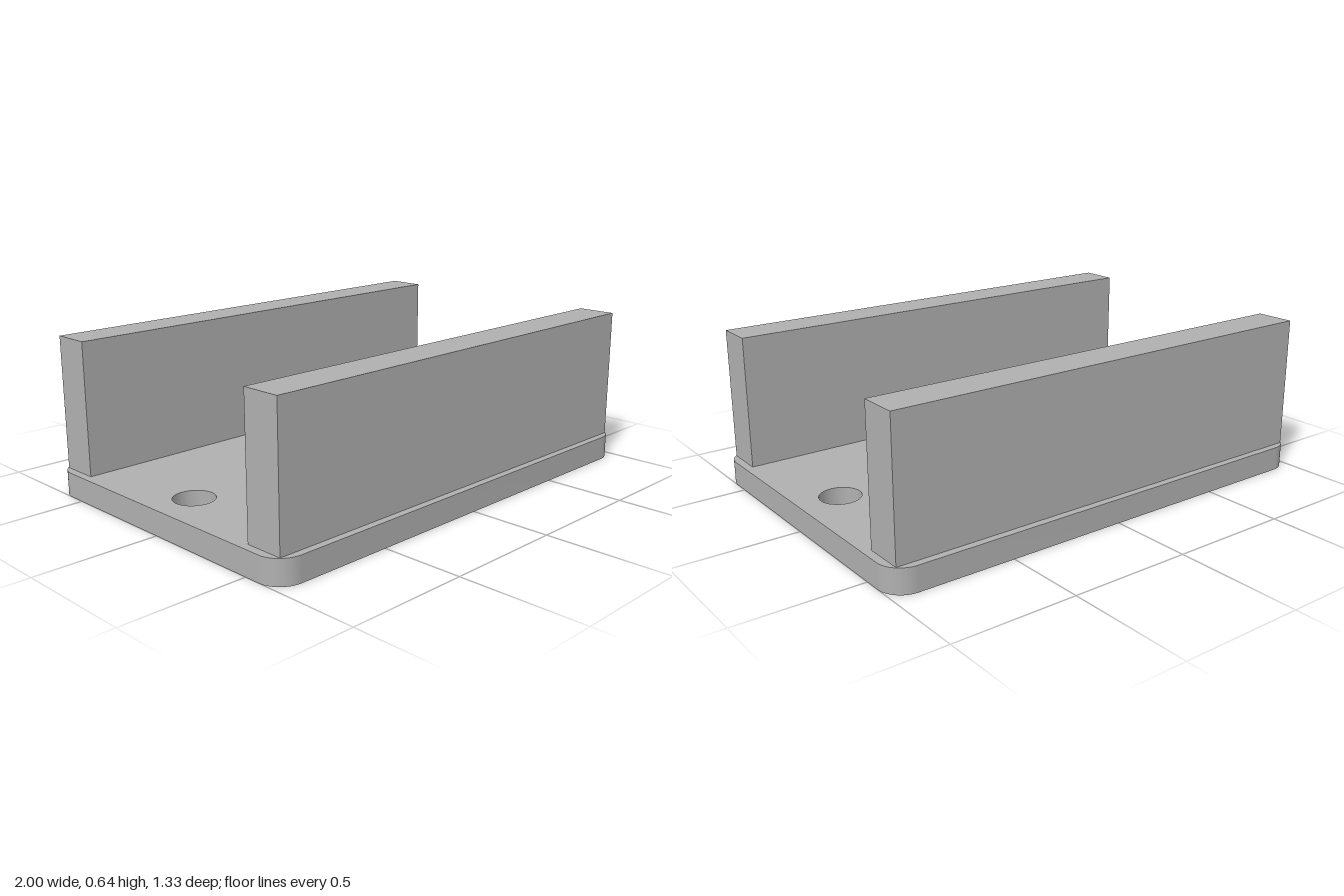
import * as THREE from 'three';
import { toCreasedNormals } from 'three/addons/utils/BufferGeometryUtils.js';

export function createModel() {
  const group = new THREE.Group();
  group.name = 'channelBracket';
  const grey = new THREE.MeshStandardMaterial({ color: 0xb0b0b0 });
  grey.name = 'grey';

  const W = 1, D = 0.667, R = 0.1; // plate half width, half depth, corner radius
  const plateTop = 0.1;

  // Base plate: rounded rectangle with two screw holes
  const outline = new THREE.Shape();
  outline.absarc(W - R, D - R, R, 0, Math.PI / 2);
  outline.absarc(-W + R, D - R, R, Math.PI / 2, Math.PI);
  outline.absarc(-W + R, -D + R, R, Math.PI, Math.PI * 1.5);
  outline.absarc(W - R, -D + R, R, Math.PI * 1.5, Math.PI * 2);
  outline.closePath();
  for (const side of [-1, 1]) {
    const hole = new THREE.Path();
    hole.absarc(side * 0.825, 0, 0.082, 0, Math.PI * 2, true);
    outline.holes.push(hole);
  }
  const plateGeometry = new THREE.ExtrudeGeometry(outline, {
    depth: plateTop, bevelEnabled: false, curveSegments: 20,
  });
  plateGeometry.rotateX(-Math.PI / 2);
  const plate = new THREE.Mesh(toCreasedNormals(plateGeometry, Math.PI / 5), grey);
  plate.name = 'basePlate';
  group.add(plate);

  // Blocks standing on the plate
  const addBlock = (name, width, height, depth, z) => {
    const block = new THREE.Mesh(new THREE.BoxGeometry(width, height, depth), grey);
    block.name = name;
    block.position.set(0, plateTop + height / 2, z);
    group.add(block);
  };
  addBlock('frontWall', 1.934, 0.541, 0.16, 0.557);
  addBlock('backWall', 1.934, 0.541, 0.16, -0.557);
  addBlock('centerPad', 0.5, 0.07, 0.275, 0);

  return group;
}
